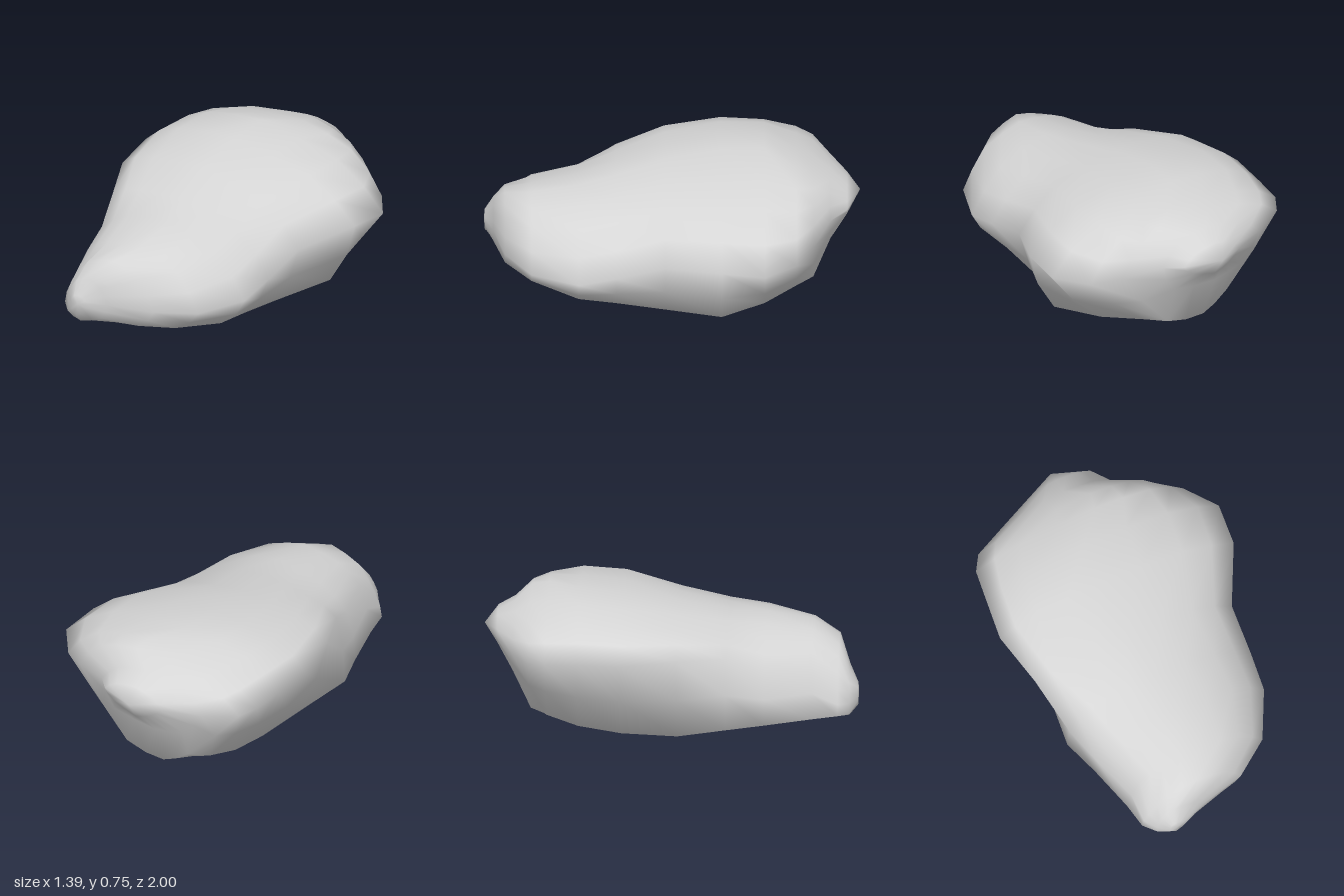
import * as THREE from 'three';

// Cross-sections from back to front:
// z, left rim x,y, crest x,y, right x,y, lower right x,y, lower left x,y
const SECTIONS = [
  [-0.93, -0.22, 0.52, -0.06, 0.61, 0.14, 0.53, 0.08, 0.47, -0.15, 0.46],
  [-0.84, -0.42, 0.51, -0.06, 0.665, 0.22, 0.51, 0.14, 0.35, -0.30, 0.36],
  [-0.75, -0.60, 0.53, 0.06, 0.715, 0.42, 0.47, 0.12, 0.10, -0.27, 0.16],
  [-0.66, -0.655, 0.55, 0.04, 0.735, 0.56, 0.44, 0.21, 0.10, -0.35, 0.13],
  [-0.49, -0.675, 0.56, -0.10, 0.765, 0.69, 0.445, 0.37, 0.09, -0.40, 0.09],
  [-0.26, -0.70, 0.565, -0.12, 0.75, 0.67, 0.46, 0.51, 0.09, -0.42, 0.06],
  [0.04, -0.635, 0.57, -0.10, 0.70, 0.52, 0.40, 0.36, 0.045, -0.45, 0.06],
  [0.30, -0.51, 0.54, -0.05, 0.635, 0.51, 0.33, 0.35, 0.08, -0.565, 0.15],
  [0.50, -0.44, 0.44, 0.00, 0.605, 0.495, 0.28, 0.34, 0.10, -0.495, 0.15],
  [0.75, -0.35, 0.44, 0.00, 0.56, 0.37, 0.27, 0.22, 0.14, -0.425, 0.16],
  [0.89, -0.36, 0.30, -0.08, 0.51, 0.18, 0.28, 0.08, 0.17, -0.40, 0.17],
  [0.95, -0.33, 0.28, -0.20, 0.39, -0.08, 0.27, -0.12, 0.18, -0.34, 0.16],
  [0.995, -0.28, 0.27, -0.24, 0.30, -0.19, 0.26, -0.20, 0.22, -0.28, 0.21],
];
const BACK_TIP = [-0.06, 0.535, -1];
const FRONT_TIP = [-0.24, 0.25, 1];
const SIDES = 16;

// One ring around the stone, with full shoulders beside the crest and a sagging belly
function ring([z, lx, ly, tx, ty, rx, ry, brx, bry, blx, bly]) {
  const point = (x, y) => new THREE.Vector3(x, y, z);
  const shoulder = (x, y) => point(x + (tx - x) * 0.38, y + (ty - y) * 0.72);
  const belly = point(blx + (brx - blx) * 0.4, Math.min(bry, bly) - 0.035);
  const curve = new THREE.CatmullRomCurve3([
    point(lx, ly), shoulder(lx, ly), point(tx, ty), shoulder(rx, ry),
    point(rx, ry), point(brx, bry), belly, point(blx, bly),
  ], true, 'catmullrom', 0.25);
  return Array.from({ length: SIDES }, (_, j) => {
    const p = curve.getPoint(j / SIDES);
    return [p.x, Math.max(0, p.y), p.z];
  });
}

function stoneGeometry() {
  const positions = SECTIONS.flatMap(ring);
  const back = positions.push(BACK_TIP) - 1;
  const front = positions.push(FRONT_TIP) - 1;
  const last = (SECTIONS.length - 1) * SIDES;
  const index = [];
  for (let j = 0; j < SIDES; j++) {
    const k = (j + 1) % SIDES;
    // Skin between neighbouring rings
    for (let start = 0; start < last; start += SIDES) {
      const a = start + j, b = start + k, c = b + SIDES, d = a + SIDES;
      index.push(a, d, b, b, d, c);
    }
    // Closed ends
    index.push(back, j, k, front, last + k, last + j);
  }
  const geometry = new THREE.BufferGeometry();
  geometry.setAttribute('position', new THREE.Float32BufferAttribute(positions.flat(), 3));
  geometry.setIndex(index);
  geometry.computeVertexNormals();
  return geometry;
}

export function createModel() {
  const group = new THREE.Group();
  group.name = 'rock';
  const stoneGrey = new THREE.MeshStandardMaterial({ color: 0xd6d6d6 });
  stoneGrey.name = 'stoneGrey';
  const stone = new THREE.Mesh(stoneGeometry(), stoneGrey);
  stone.name = 'boulder';
  group.add(stone);
  return group;
}
